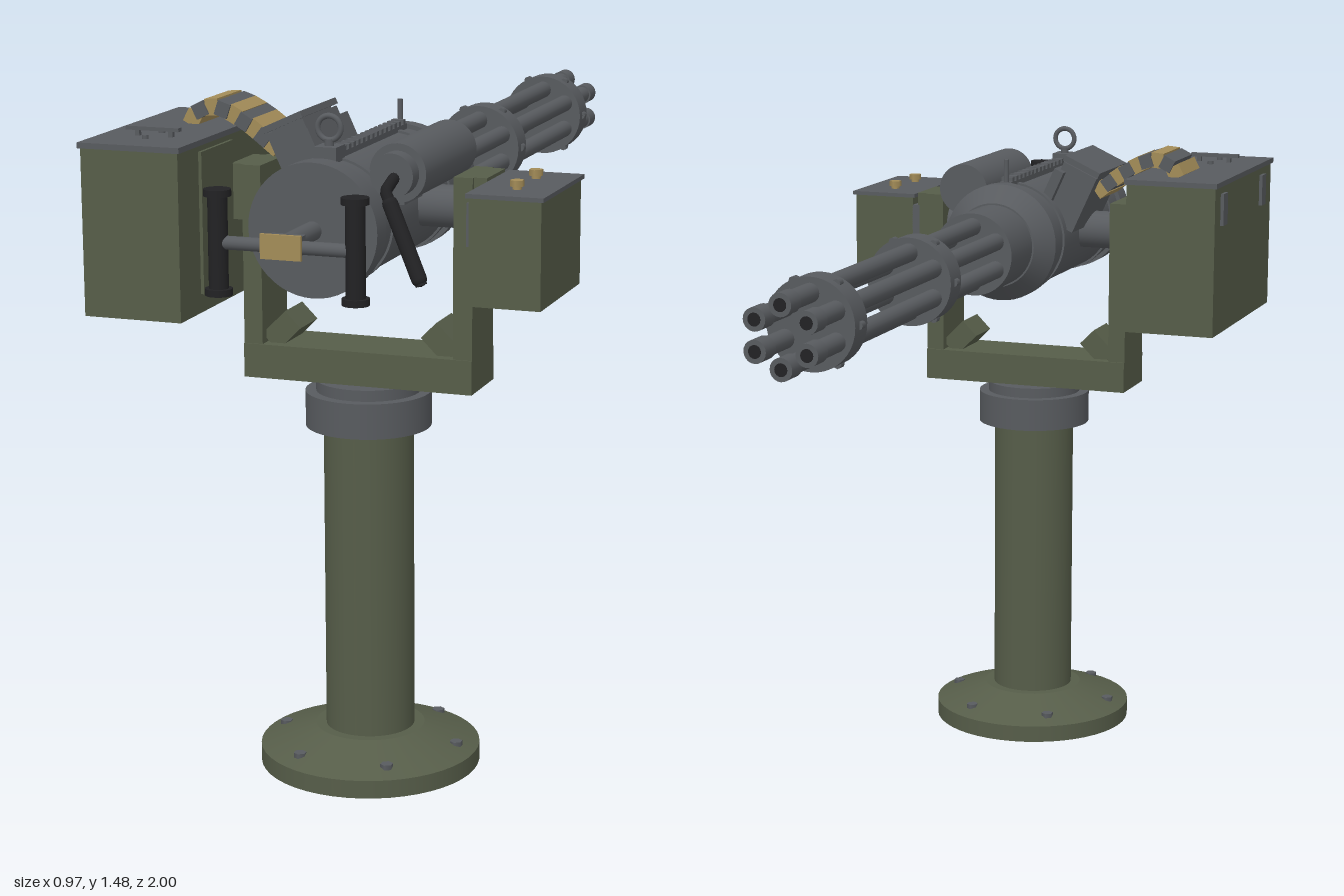
import * as THREE from 'three';

const mat = (name, color) => {
  const m = new THREE.MeshStandardMaterial({ color });
  m.name = name;
  return m;
};

export function createModel() {
  const olive = mat('olive paint', 0x565d49);
  const steel = mat('gunmetal', 0x585b5f);
  const black = mat('black grip', 0x222224);
  const brass = mat('brass', 0xa38c58);
  const root = new THREE.Group();
  const CX = 0.025, CZ = 0.503, AY = 1.25; // post axis and barrel axis

  const add = (name, geo, m, x = 0, y = 0, z = 0, parent = root) => {
    const mesh = new THREE.Mesh(geo, m);
    mesh.name = name;
    mesh.position.set(x, y, z);
    parent.add(mesh);
    return mesh;
  };
  // box given by its limits on each axis
  const box = (name, m, x0, x1, y0, y1, z0, z1, parent) =>
    add(name, new THREE.BoxGeometry(x1 - x0, y1 - y0, z1 - z0), m,
      (x0 + x1) / 2, (y0 + y1) / 2, (z0 + z1) / 2, parent);
  // cylinders along each axis from a to b, with end radii ra and rb
  const cylY = (name, m, x, z, a, b, ra, rb = ra, seg = 32) =>
    add(name, new THREE.CylinderGeometry(rb, ra, b - a, seg), m, x, (a + b) / 2, z);
  const cylZ = (name, m, x, y, a, b, ra, rb = ra, seg = 32) =>
    add(name, new THREE.CylinderGeometry(rb, ra, b - a, seg).rotateX(Math.PI / 2), m, x, y, (a + b) / 2);
  const cylX = (name, m, y, z, a, b, r, seg = 24) =>
    add(name, new THREE.CylinderGeometry(r, r, b - a, seg).rotateZ(Math.PI / 2), m, (a + b) / 2, y, z);

  // pedestal
  cylY('baseFlange', olive, CX, CZ, 0, 0.04, 0.242, 0.242, 48);
  cylY('baseCone', olive, CX, CZ, 0.04, 0.085, 0.242, 0.12, 48);
  cylY('post', olive, CX, CZ, 0.08, 0.775, 0.0975, 0.0975, 40);
  cylY('swivelCollar', steel, CX, CZ, 0.768, 0.845, 0.136, 0.136, 40);
  cylY('swivelPlate', steel, CX, CZ, 0.845, 0.869, 0.113, 0.113, 40);
  for (let i = 0; i < 6; i++) {
    const a = i * Math.PI / 3;
    cylY('baseBolt', steel, CX + 0.2 * Math.cos(a), CZ + 0.2 * Math.sin(a), 0.04, 0.062, 0.014, 0.014, 6);
  }

  // yoke with arms, corner gussets and bosses
  box('yokeCrossbar', olive, -0.232, 0.282, 0.869, 0.943, 0.427, 0.578);
  for (const s of [-1, 1]) {
    const arm = add('yokeArm', new THREE.BoxGeometry(0.042, 0.39, 0.14), olive, CX + s * 0.236, 1.135, CZ);
    arm.scale.z = 1.02;
    const gusset = add('yokeGusset', new THREE.BoxGeometry(0.075, 0.05, 0.1), olive, CX + s * 0.18, 0.97, CZ);
    gusset.rotation.z = -s * Math.PI / 4;
    add('yokeBoss', new THREE.BoxGeometry(0.03, 0.12, 0.125), olive, CX + s * 0.27, 1.27, CZ);
  }
  cylX('trunnion', steel, 1.255, CZ, -0.265, 0.318, 0.045);

  // receiver body
  cylZ('rearPlate', steel, CX, AY, 0.772, 0.825, 0.139, 0.139, 48);
  cylZ('receiver', steel, CX, AY, 0.28, 0.775, 0.129, 0.129, 48);
  cylZ('receiverBand', steel, CX, AY, 0.335, 0.35, 0.134, 0.134, 48);
  cylZ('receiverBand', steel, CX, AY, 0.7, 0.715, 0.134, 0.134, 48);
  cylZ('frontRing', steel, CX, AY, 0.255, 0.29, 0.139, 0.139, 48);
  cylZ('frontCone', steel, CX, AY, 0.21, 0.255, 0.1, 0.139, 48);
  cylZ('barrelHousing', steel, CX, AY, 0.068, 0.212, 0.096, 0.096, 40);

  // toothed rail along the top, with sight post and eye bolt
  box('railBase', steel, CX - 0.014, CX + 0.014, 1.365, 1.39, 0.29, 0.71);
  for (let i = 0; i < 14; i++)
    box('railTooth', steel, CX - 0.014, CX + 0.014, 1.388, 1.4, 0.3 + i * 0.028, 0.314 + i * 0.028);
  cylY('sightPost', steel, CX, 0.295, 1.37, 1.443, 0.006, 0.006, 10);
  box('eyeBoltBase', steel, CX - 0.024, CX + 0.024, 1.37, 1.408, 0.7, 0.75);
  cylY('eyeBoltShank', steel, CX, 0.725, 1.4, 1.422, 0.01, 0.01, 12);
  add('eyeBoltRing', new THREE.TorusGeometry(0.025, 0.006, 10, 28), steel, CX, 1.444, 0.725);

  // six rotating barrels
  for (let i = 0; i < 6; i++) {
    const a = Math.PI / 6 + i * Math.PI / 3;
    const x = CX + 0.065 * Math.cos(a), y = AY + 0.065 * Math.sin(a);
    cylZ('barrel', steel, x, y, -0.99, 0.08, 0.0205, 0.0205, 20);
    cylZ('muzzle', steel, x, y, -1, -0.952, 0.0245, 0.0245, 20);
    cylZ('bore', black, x, y, -1.001, -0.997, 0.014, 0.014, 16);
  }
  for (const z of [-0.855, -0.325]) {
    cylZ('barrelClamp', steel, CX, AY, z, z + 0.062, 0.098, 0.098, 40);
    for (let i = 0; i < 6; i++) {
      const a = i * Math.PI / 3;
      cylZ('clampBolt', steel, CX + 0.096 * Math.cos(a), AY + 0.096 * Math.sin(a), z + 0.022, z + 0.04, 0.009, 0.009, 8);
    }
  }

  // rear spade grips
  cylZ('gripStem', steel, CX, AY, 0.82, 0.965, 0.02, 0.02, 20);
  cylX('gripCrossbar', steel, AY - 0.005, 0.966, -0.12, 0.17, 0.014, 16);
  for (const x of [CX - 0.145, CX + 0.145]) {
    cylY('grip', black, x, 0.966, 1.145, 1.345, 0.02, 0.02, 20);
    for (const y of [1.138, 1.338]) cylY('gripCap', black, x, 0.966, y, y + 0.014, 0.028, 0.028, 20);
  }
  box('triggerBlock', steel, -0.01, 0.06, 1.23, 1.268, 0.95, 0.99);
  box('triggerPlate', brass, -0.018, 0.068, 1.224, 1.274, 0.99, 0.998);

  // drive motor
  cylZ('motor', steel, 0.163, 1.355, 0.37, 0.7, 0.061, 0.061, 32);
  cylZ('motorCap', steel, 0.163, 1.355, 0.7, 0.738, 0.046, 0.046, 32);
  box('motorMount', steel, 0.08, 0.16, 1.28, 1.35, 0.42, 0.65);

  // bent crank
  const crank = new THREE.CurvePath();
  const pts = [[0.165, 1.352, 0.72], [0.185, 1.342, 0.835], [0.27, 1.162, 0.862]].map(p => new THREE.Vector3(...p));
  crank.add(new THREE.LineCurve3(pts[0], pts[1]));
  crank.add(new THREE.LineCurve3(pts[1], pts[2]));
  add('crank', new THREE.TubeGeometry(crank, 24, 0.012, 12), black);
  const handle = add('crankHandle', new THREE.CapsuleGeometry(0.016, 0.16, 4, 14), black);
  handle.position.lerpVectors(pts[1], pts[2], 0.53);
  handle.quaternion.setFromUnitVectors(new THREE.Vector3(0, 1, 0), pts[2].clone().sub(pts[1]).normalize());

  // large ammunition box
  box('largeBox', olive, -0.48, -0.263, 1.04, 1.395, 0.33, 0.835);
  box('largeBoxLid', steel, -0.485, -0.258, 1.393, 1.405, 0.325, 0.84);
  box('largeBoxPanel', olive, -0.264, -0.256, 1.08, 1.38, 0.56, 0.73);
  for (const z of [0.395, 0.745]) box('latch', steel, -0.488, -0.478, 1.3, 1.375, z - 0.018, z + 0.018);
  box('lidHandle', steel, -0.43, -0.31, 1.417, 1.425, 0.706, 0.722);
  for (const x of [-0.41, -0.335]) box('lidHandlePost', steel, x, x + 0.01, 1.403, 1.418, 0.709, 0.719);
  for (const z of [0.667, 0.75]) cylY('lidPin', steel, -0.372, z, 1.4, 1.413, 0.007, 0.007, 10);

  // belt of alternating links arching from the box to the feeder
  const path = new THREE.CatmullRomCurve3([
    [-0.365, 1.405], [-0.347, 1.432], [-0.305, 1.443], [-0.245, 1.418], [-0.165, 1.36],
  ].map(([x, y]) => new THREE.Vector3(x, y, 0.47)));
  const links = 9;
  for (let i = 0; i < links; i++) {
    const t = (i + 0.5) / links, p = path.getPointAt(t), d = path.getTangentAt(t);
    const even = i % 2 === 0;
    const link = add('beltLink', new THREE.BoxGeometry(0.03, even ? 0.036 : 0.032, even ? 0.135 : 0.145),
      even ? brass : steel, p.x, p.y, p.z);
    link.rotation.z = Math.atan2(d.y, d.x);
  }

  // tilted feeder on the receiver's shoulder
  const feeder = new THREE.Group();
  feeder.name = 'feeder';
  feeder.position.set(-0.112, 1.365, 0.47);
  feeder.rotation.z = 0.43;
  root.add(feeder);
  box('feederBody', steel, -0.045, 0.045, -0.09, 0.055, -0.1, 0.1, feeder);
  box('feederCover', steel, -0.048, 0.048, 0.058, 0.072, -0.105, 0.105, feeder);
  box('feederNeck', steel, -0.036, 0.036, 0.05, 0.06, -0.09, 0.09, feeder);
  box('feederFlange', steel, 0.03, 0.055, -0.05, 0.035, -0.12, 0.12, feeder);

  // small box with brass terminals
  box('smallBox', olive, 0.323, 0.475, 1.095, 1.32, 0.44, 0.727);
  box('smallBoxLid', steel, 0.317, 0.481, 1.318, 1.327, 0.435, 0.732);
  box('smallBoxBracket', steel, 0.306, 0.324, 1.21, 1.3, 0.44, 0.69);
  for (const z of [0.515, 0.648]) {
    cylY('terminal', brass, 0.4, z, 1.325, 1.335, 0.01, 0.01, 12);
    cylY('terminalNut', brass, 0.4, z, 1.333, 1.346, 0.015, 0.015, 6);
  }
  return root;
}
